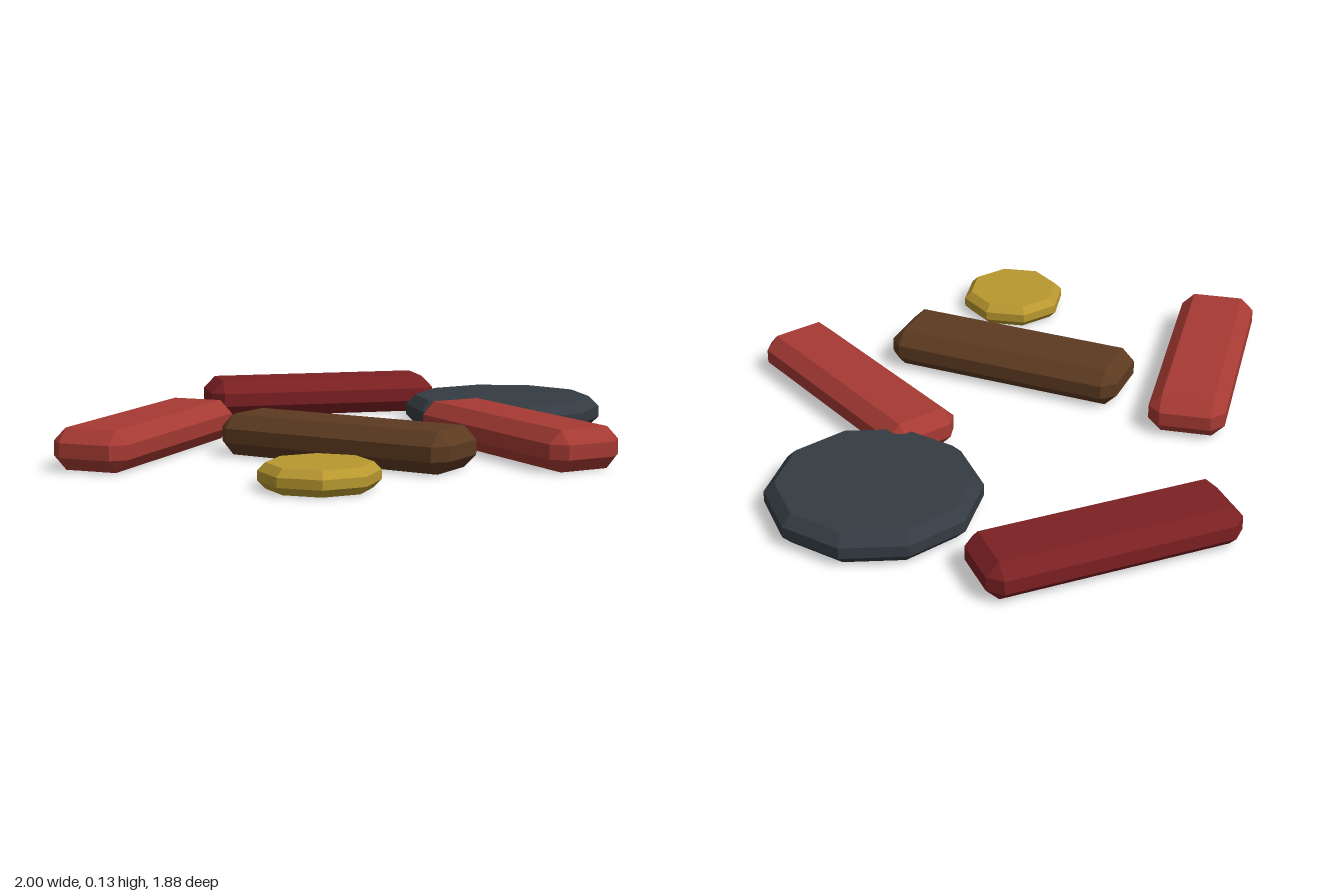
import * as THREE from 'three';
import { ConvexGeometry } from 'three/addons/geometries/ConvexGeometry.js';

const material = (name, color) => {
  const m = new THREE.MeshStandardMaterial({ color, flatShading: true });
  m.name = name;
  return m;
};

// Box with every edge and corner cut by a flat chamfer c, standing on y = 0.
function chamferedBox(w, h, d, c) {
  const points = [];
  for (const sx of [-1, 1]) for (const sy of [-1, 1]) for (const sz of [-1, 1]) {
    const [x, y, z] = [w / 2, h / 2, d / 2];
    for (const [px, py, pz] of [[x, y - c, z - c], [x - c, y, z - c], [x - c, y - c, z]]) {
      points.push(new THREE.Vector3(sx * px, sy * py + h / 2, sz * pz));
    }
  }
  return new ConvexGeometry(points);
}

// Polygonal disc with chamfered rims, standing on y = 0.
function chamferedDisc(r, h, c, sides) {
  const profile = [[0, 0], [r - c, 0], [r, c], [r, h - c], [r - c, h], [0, h]];
  return new THREE.LatheGeometry(profile.map(([x, y]) => new THREE.Vector2(x, y)), sides);
}

export function createModel() {
  const model = new THREE.Group();
  model.name = 'scatteredPieces';

  const red = material('brick red', 0xa63a33);
  const darkRed = material('dark red', 0x7c2023);
  const brown = material('brown', 0x5c3a20);
  const slate = material('slate', 0x343b42);
  const gold = material('gold', 0xb8982f);

  const add = (name, geometry, mat, x, z, degrees = 0) => {
    const mesh = new THREE.Mesh(geometry, mat);
    mesh.name = name;
    mesh.position.set(x, 0, z);
    mesh.rotation.y = THREE.MathUtils.degToRad(degrees);
    model.add(mesh);
  };

  // Four equal bars lying at different angles
  const bar = chamferedBox(0.827, 0.13, 0.253, 0.042);
  add('backLeftBar', bar, red, -0.58, -0.367, 20);
  add('backRightBar', bar, darkRed, 0.52, -0.628, -35);
  add('middleBar', bar, brown, -0.265, 0.205, -80);
  add('frontBar', bar, red, 0.2, 0.52, 70);

  // Large and small flat discs
  add('largeDisc', chamferedDisc(0.338, 0.105, 0.034, 10), slate, 0.678, 0.102);
  add('smallDisc', chamferedDisc(0.18, 0.077, 0.024, 8), gold, -0.682, 0.47);

  return model;
}
